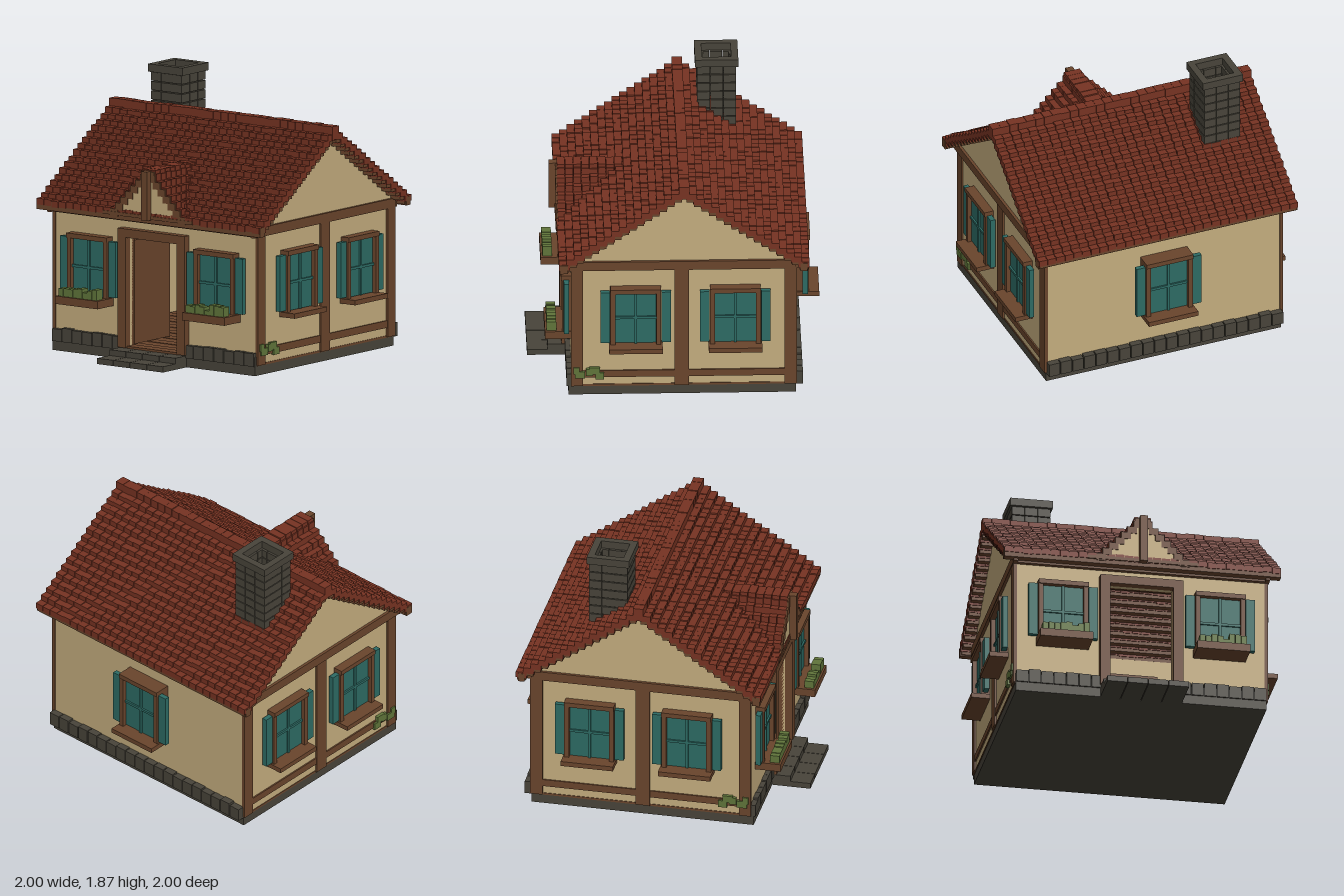
import * as THREE from 'three';
import { mergeGeometries } from 'three/addons/utils/BufferGeometryUtils.js';

const material = (name, color) => Object.assign(new THREE.MeshStandardMaterial({ color }), { name });
const plaster = material('plaster', 0xc4ad7e);
const wood = material('wood', 0x6a452c);
const tile = material('roofTile', 0x773322);
const teal = material('tealPaint', 0x2d6b64);
const stone = material('stone', 0x48443a);
const leaf = material('leaf', 0x60753a);

let seed = 7;
const rand = () => ((seed = (seed * 16807) % 2147483647) / 2147483647);

// Box from its limits
function box(x0, x1, y0, y1, z0, z1) {
  return new THREE.BoxGeometry(x1 - x0, y1 - y0, z1 - z0)
    .translate((x0 + x1) / 2, (y0 + y1) / 2, (z0 + z1) / 2);
}

// A box and its mirror image across x = 0
const pair = (x0, x1, ...r) => [box(x0, x1, ...r), box(-x1, -x0, ...r)];

function part(parent, name, mat, geometries) {
  const mesh = new THREE.Mesh(mergeGeometries(geometries), mat);
  mesh.name = name;
  parent.add(mesh);
  return mesh;
}

// Flat outline pushed out along z
function slab(points, depth) {
  const shape = new THREE.Shape(points.map(([x, y]) => new THREE.Vector2(x, y)));
  return new THREE.ExtrudeGeometry(shape, { depth, bevelEnabled: false });
}

const MID = -0.055; // z of the ridge

// Window facing +z, with its wall plane at z = 0
function makeWindow(name, planter, back = 0) {
  const g = new THREE.Group();
  g.name = name;
  part(g, 'windowPane', teal, [
    box(-0.14, 0.14, 0.41, 0.8, back, 0.03),
    box(-0.009, 0.009, 0.41, 0.8, 0.03, 0.042),
    box(-0.14, 0.14, 0.597, 0.615, 0.03, 0.042),
  ]);
  part(g, 'windowFrame', wood, [
    ...pair(0.14, 0.173, 0.4, 0.8, back, 0.06),
    box(-0.173, 0.173, 0.8, 0.833, back, 0.068),
  ]);
  part(g, 'shutters', teal, pair(0.177, 0.24, 0.42, 0.805, 0.015, 0.05));
  if (planter) {
    part(g, 'flowerBox', wood, [box(-0.183, 0.183, 0.355, 0.41, 0, 0.178)]);
    const leaves = [];
    for (let i = 0; i < 8; i++) {
      const x = -0.163 + i * 0.041;
      leaves.push(box(x, x + 0.039, 0.41, 0.44 + rand() * 0.045, 0.1, 0.165));
    }
    part(g, 'flowerBoxPlants', leaf, leaves);
  } else {
    part(g, 'windowSill', wood, [box(-0.183, 0.183, 0.373, 0.407, back, 0.13)]);
  }
  return g;
}

function addWalls(house) {
  const side = slab([[-0.765, 0.07], [0.765, 0.07], [0.765, 1.03], [0, 1.55], [-0.765, 1.03]], 0.03)
    .rotateY(-Math.PI / 2).translate(0, 0, MID);
  part(house, 'gableWalls', plaster, [side.clone().translate(0.87, 0, 0), side.clone().translate(-0.84, 0, 0)]);
  part(house, 'backWall', plaster, [box(-0.84, 0.84, 0.07, 1.02, -0.82, -0.79)]);
  part(house, 'frontWall', plaster, [
    ...pair(0.22, 0.84, 0.07, 1.02, 0.68, 0.71),
    box(-0.22, 0.22, 0.85, 1.02, 0.68, 0.71),
  ]);

  // Timber framing of the two gable ends
  const timber = [];
  for (const [z0, z1] of [[0.635, 0.715], [-0.09, 0.01], [-0.825, -0.74]])
    timber.push(...pair(0.86, 0.884, 0.07, 0.97, z0, z1));
  timber.push(...pair(0.86, 0.89, 0.96, 1.025, -0.82, 0.77));
  timber.push(...pair(0.86, 0.88, 0.135, 0.185, -0.74, 0.635));
  timber.push(...pair(0.86, 0.874, 0.065, 0.08, -0.82, 0.71));
  part(house, 'timberFrame', wood, timber);
  part(house, 'eaveBeams', wood, [
    box(-0.96, 0.96, 0.975, 1.04, 0.74, 0.795),
    box(-0.96, 0.96, 0.975, 1.035, -0.895, -0.85),
    box(-0.88, 0.88, 0.96, 1.01, 0.7, 0.74),
    box(-0.88, 0.88, 0.96, 1.01, -0.85, -0.81),
  ]);
}

function addStonework(house) {
  part(house, 'baseSlab', stone, [box(-0.87, 0.87, 0, 0.07, -0.82, 0.715)]);
  const blocks = [];
  for (let i = 0; i < 20; i++) {
    const x = -0.87 + i * 0.087;
    const top = 0.15 + rand() * 0.012;
    blocks.push(box(x + 0.003, x + 0.084, 0.06, top, -0.868, -0.82));
    if (Math.abs(x + 0.0435) > 0.285) blocks.push(box(x + 0.003, x + 0.084, 0.065, top, 0.705, 0.745));
  }
  blocks.push(...pair(0.28, 0.87, 0, 0.13, 0.705, 0.733));
  part(house, 'foundationBlocks', stone, blocks);
  const steps = [];
  for (let i = 0; i < 4; i++) {
    const x = -0.285 + i * 0.1425;
    steps.push(box(x + 0.002, x + 0.1405, 0, 0.08, 0.71, 0.86));
    steps.push(box(x + 0.002, x + 0.1405, 0, 0.04, 0.86, 1));
  }
  part(house, 'doorSteps', stone, steps);
}

function addRoof(house) {
  const rows = 16, run = 0.0513, rise = 0.0353, cols = 30, w = 1.92 / cols;
  const tiles = [], boards = [];
  for (const s of [1, -1]) for (let i = 0; i < rows; i++) {
    const outer = MID + s * (0.855 - i * run), inner = outer - s * 0.075;
    const z0 = Math.min(outer, inner), z1 = Math.max(outer, inner), y = 1.0 + i * rise;
    for (let c = 0; c < cols; c++) {
      const x = -0.96 + c * w, dy = rand() * 0.009;
      tiles.push(box(x + 0.002, x + w - 0.002, y + dy, y + 0.043 + dy, z0, z1));
    }
    boards.push(box(-0.95, 0.95, y - 0.018, y + 0.02, z0 + 0.006, z1 - 0.006));
  }
  for (let c = 0; c < cols; c++) {
    const x = -0.96 + c * w;
    tiles.push(box(x + 0.001, x + w - 0.001, 1.54, 1.63 + rand() * 0.007, MID - 0.036, MID + 0.036));
  }
  part(house, 'roofTiles', tile, tiles);
  part(house, 'roofBoards', wood, boards);
}

function addPorchGable(house) {
  const tiles = [], fascia = [];
  const course = (x0, x1, y0, y1) => {
    // Tiles run back until they sink into the main slope
    const end = 0.72 - (y0 - 1.0) / 0.69;
    for (let z = 0.79; z > end; z -= 0.056) {
      const dy = rand() * 0.01;
      tiles.push(box(x0, x1, y0 + dy, y1 + dy, z - 0.053, z));
      if (x0 > 0) tiles.push(box(-x1, -x0, y0 + dy, y1 + dy, z - 0.053, z));
    }
  };
  for (let j = 0; j < 7; j++) {
    const x = 0.325 - j * 0.043, y = 1.0 + j * 0.044;
    course(x - 0.065, x, y, y + 0.05);
    fascia.push(...pair(x - 0.068, x - 0.003, y - 0.003, y + 0.047, 0.785, 0.802));
  }
  course(-0.058, 0.058, 1.285, 1.34);
  fascia.push(box(-0.055, 0.055, 1.27, 1.335, 0.785, 0.802));
  part(house, 'porchRoofTiles', tile, tiles);
  part(house, 'porchFascia', wood, fascia);
  part(house, 'porchGablePanel', plaster, [slab([[-0.29, 1.01], [0.29, 1.01], [0, 1.31]], 0.045).translate(0, 0, 0.752)]);
  part(house, 'porchPost', wood, [
    box(-0.026, 0.026, 1.0, 1.34, 0.79, 0.845),
    box(-0.385, 0.385, 1.005, 1.028, 0.78, 0.806),
  ]);
}

function addChimney(house) {
  const bricks = [], X = -0.592, Z = -0.315, h = 0.133, t = 0.045;
  for (let r = 0; r < 9; r++) {
    const y0 = 1.24 + r * 0.0645, y1 = y0 + 0.058;
    for (let k = 0; k < 3; k++) {
      const a = -h + (k * 2 * h) / 3 + 0.001, b = a + (2 * h) / 3 - 0.003;
      for (const s of [-h, h - t]) {
        bricks.push(box(X + a, X + b, y0, y1, Z + s, Z + s + t));
        bricks.push(box(X + s, X + s + t, y0, y1, Z + a, Z + b));
      }
    }
  }
  part(house, 'chimneyBricks', stone, bricks);
  const o = 0.148, n = 0.1;
  const cap = [];
  for (const s of [-o, n]) {
    cap.push(box(X - o, X + o, 1.818, 1.872, Z + s, Z + s + o - n));
    cap.push(box(X + s, X + s + o - n, 1.818, 1.872, Z - n, Z + n));
  }
  part(house, 'chimneyCap', stone, cap);
}

function addDoorAndRoom(house) {
  part(house, 'doorFrame', wood, [
    ...pair(0.22, 0.287, 0.085, 0.85, 0.66, 0.765),
    box(-0.287, 0.287, 0.85, 0.91, 0.66, 0.765),
    box(-0.22, 0.22, 0.07, 0.095, 0.66, 0.745),
  ]);
  part(house, 'openDoor', wood, [box(-0.235, -0.214, 0.1, 0.82, 0.27, 0.67)]);
  const planks = [];
  for (let i = 0; i < 16; i++) planks.push(box(-0.83, 0.83, 0.07, 0.09 + (i % 2) * 0.003, -0.79 + i * 0.0915, -0.701 + i * 0.0915));
  part(house, 'floorPlanks', wood, planks);
  part(house, 'hearth', stone, [box(-0.15, 0.15, 0.16, 0.465, -0.79, -0.7)]);
  part(house, 'table', wood, [
    box(-0.25, 0.25, 0.48, 0.53, -0.3, 0),
    ...pair(0.17, 0.21, 0.09, 0.48, -0.05, -0.01),
    ...pair(0.17, 0.21, 0.09, 0.48, -0.29, -0.25),
    box(-0.21, 0.21, 0.29, 0.32, -0.045, -0.015),
    box(-0.21, 0.21, 0.12, 0.16, -0.29, -0.25),
  ]);
  part(house, 'chair', wood, [
    box(-0.034, 0.034, 0.11, 0.44, 0.03, 0.06),
    box(-0.1, 0.1, 0.09, 0.12, 0.01, 0.1),
  ]);
}

export function createModel() {
  const house = new THREE.Group();
  house.name = 'cottage';
  addStonework(house);
  addWalls(house);
  addRoof(house);
  addPorchGable(house);
  addChimney(house);
  addDoorAndRoom(house);

  const place = (w, x, z, turn) => {
    w.position.set(x, 0, z);
    w.rotation.y = turn;
    house.add(w);
  };
  for (const s of [1, -1]) {
    place(makeWindow('frontWindow', true), s * 0.545, 0.712, 0);
    for (const z of [0.275, -0.405]) place(makeWindow('sideWindow', false), s * 0.87, z, (s * Math.PI) / 2);
  }
  place(makeWindow('backWindow', false, -0.05), 0, -0.868, Math.PI);

  // Bushes at the front corners
  const bush = [];
  for (const [z, y, d] of [[0.62, 0.15, 0.07], [0.565, 0.17, 0.05], [0.52, 0.18, 0.07], [0.49, 0.14, 0.06], [0.66, 0.18, 0.04]])
    bush.push(...pair(0.872, 0.895, y - 0.015, y + 0.035, z, z + d));
  part(house, 'cornerBushes', leaf, bush);
  return house;
}
